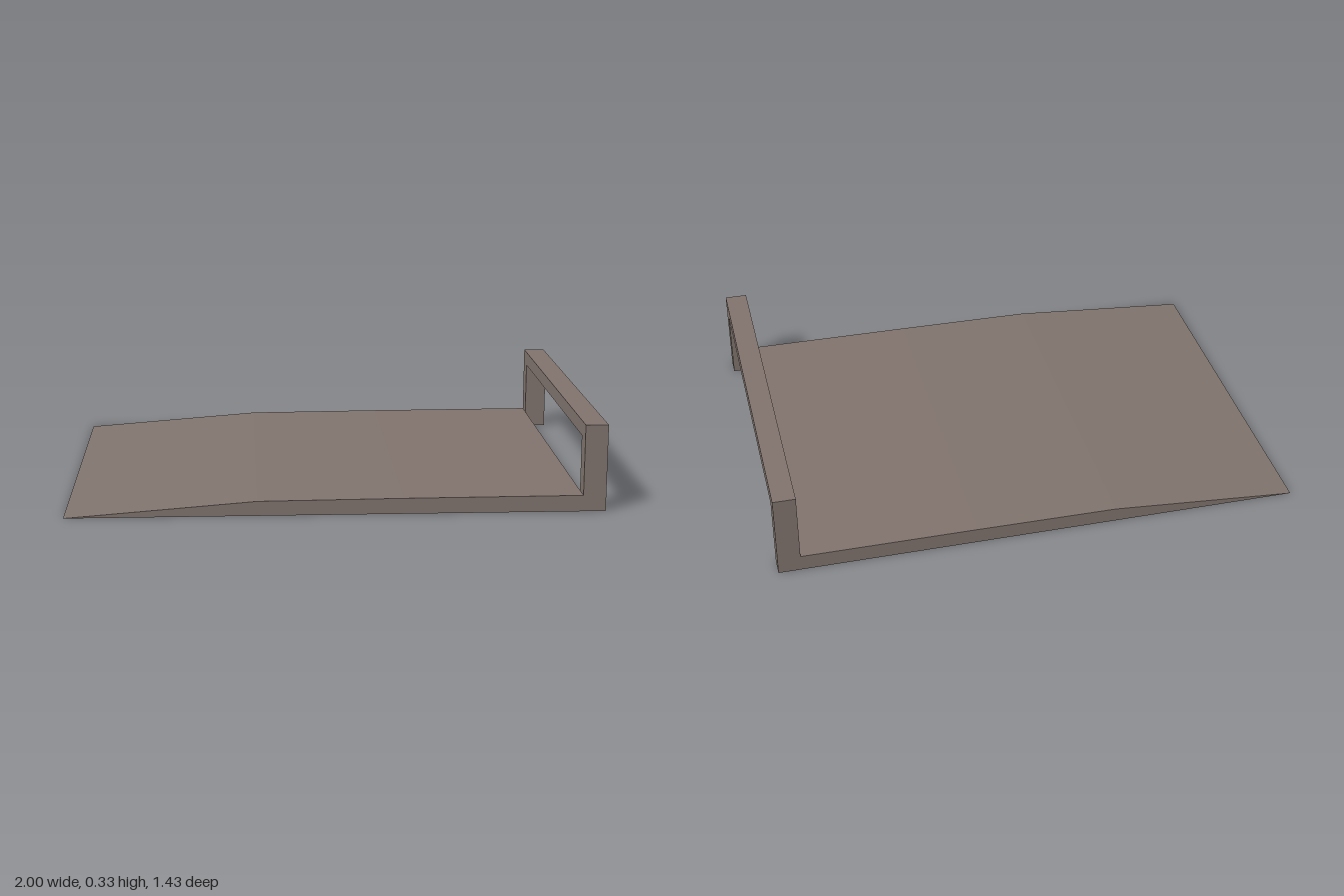
import * as THREE from 'three';

const HALF_WIDTH = 0.715; // half extent along z
const PLATE_END = 0.915;  // where the tapered plate meets the handle

function extrude(points, depth) {
  const shape = new THREE.Shape(points.map(([x, y]) => new THREE.Vector2(x, y)));
  return new THREE.ExtrudeGeometry(shape, { depth, bevelEnabled: false });
}

export function createModel() {
  const group = new THREE.Group();
  const material = new THREE.MeshStandardMaterial({ color: 0x80736d });
  material.name = 'warm grey';

  const add = (name, geometry) => {
    const mesh = new THREE.Mesh(geometry, material);
    mesh.name = name;
    group.add(mesh);
  };

  // Wedge-nosed plate: side profile extruded across the width
  const plate = extrude([
    [-1, 0], [PLATE_END, 0], [PLATE_END, 0.061], [0.25, 0.059], [-0.29, 0.055],
  ], HALF_WIDTH * 2);
  plate.translate(0, 0, -HALF_WIDTH);
  add('taperedPlate', plate);

  // Upright handle: two posts joined by a top bar, open at the bottom
  const inner = 0.645, height = 0.328, barBottom = 0.273;
  const handle = extrude([
    [-HALF_WIDTH, 0], [-inner, 0], [-inner, barBottom], [inner, barBottom],
    [inner, 0], [HALF_WIDTH, 0], [HALF_WIDTH, height], [-HALF_WIDTH, height],
  ], 1 - PLATE_END);
  handle.rotateY(Math.PI / 2);
  handle.translate(PLATE_END, 0, 0);
  add('handle', handle);

  return group;
}
